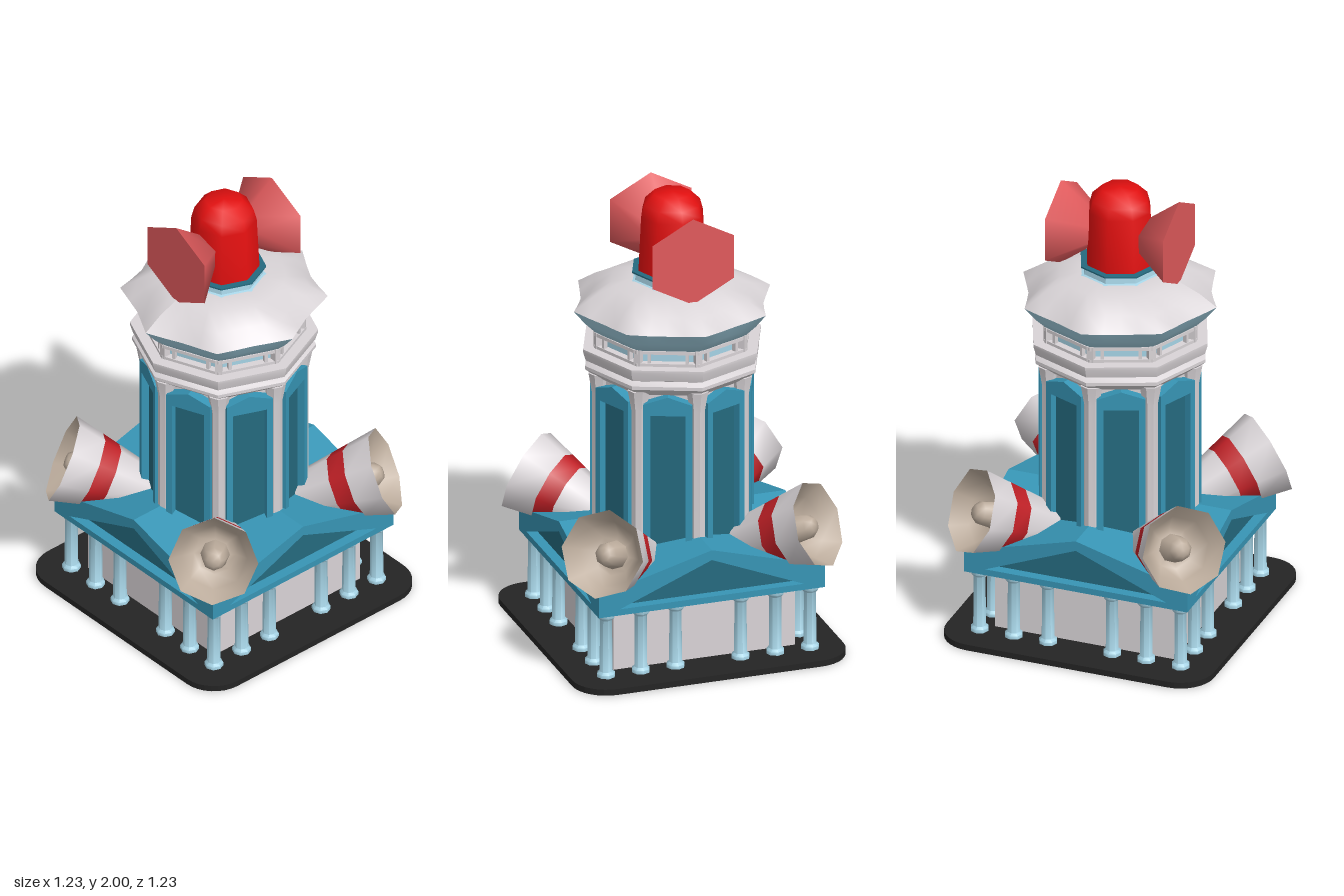
import * as THREE from 'three';
import { toCreasedNormals } from 'three/addons/utils/BufferGeometryUtils.js';

const mat = (name, color) => Object.assign(new THREE.MeshStandardMaterial({ color }), { name });

export function createModel() {
  const M = {
    stone: mat('pale stone', 0xd9d4d7),
    sky: mat('light blue', 0xa6d4e6),
    teal: mat('teal', 0x3795b5),
    deep: mat('dark teal', 0x256a7f),
    red: mat('lamp red', 0xe31010),
    band: mat('band red', 0xc02026),
    beam: mat('beam red', 0xe05a5c),
    beige: mat('horn beige', 0xbcac9c),
    black: mat('base black', 0x242424),
  };
  const model = new THREE.Group();
  model.name = 'sirenTower';

  const add = (parent, name, geo, material, x = 0, y = 0, z = 0) => {
    const mesh = new THREE.Mesh(geo, material);
    mesh.name = name;
    mesh.position.set(x, y, z);
    parent.add(mesh);
    return mesh;
  };
  const lathe = (pts, sides = 8, crease = 0.6) =>
    toCreasedNormals(new THREE.LatheGeometry(pts.map(p => new THREE.Vector2(...p)), sides), crease);
  const box = (w, h, d) => new THREE.BoxGeometry(w, h, d);
  const polygon = pts => new THREE.Shape(pts.map(p => new THREE.Vector2(...p)));
  const extrude = (shape, depth) =>
    new THREE.ExtrudeGeometry(shape, { depth, bevelEnabled: false, curveSegments: 4 });
  const turned = (name, angle) => {
    const g = new THREE.Group();
    g.name = name;
    g.rotation.y = angle;
    model.add(g);
    return g;
  };

  // Base plate with rounded corners
  const b = 0.605, r = 0.15, plate = new THREE.Shape();
  plate.absarc(b - r, b - r, r, 0, Math.PI / 2);
  plate.absarc(r - b, b - r, r, Math.PI / 2, Math.PI);
  plate.absarc(r - b, r - b, r, Math.PI, Math.PI * 1.5);
  plate.absarc(b - r, r - b, r, Math.PI * 1.5, Math.PI * 2);
  add(model, 'basePlate', extrude(plate, 0.027), M.black, 0, 0.03).rotation.x = Math.PI / 2;

  // Ground floor walls
  add(model, 'walls', box(0.81, 0.3, 0.81), M.stone, 0, 0.18);

  // Four sides: columns, pediment and the wall edge under the base
  const column = lathe([[0, 0.03], [0.04, 0.03], [0.04, 0.045], [0.029, 0.055], [0.027, 0.29],
    [0.038, 0.302], [0.038, 0.322], [0, 0.322]], 8, 0.9);
  const slope = x => 0.56 - 0.14 * x / 0.505;
  const gable = w => polygon([[-w, 0.32], [w, 0.32], [w, slope(w)], [0, 0.56], [-w, slope(w)]]);
  const pediment = gable(0.505);
  pediment.holes.push(polygon([[-0.41, 0.348], [0, 0.515], [0.41, 0.348]]));
  const pedimentGeo = extrude(pediment, 0.06);
  const roofGeo = extrude(gable(0.45), 0.92);
  for (let i = 0; i < 4; i++) {
    const side = turned('side', i * Math.PI / 2);
    for (const x of [-0.455, -0.3, -0.145, 0.145, 0.3]) add(side, 'column', column, M.sky, x, 0, 0.455);
    add(side, 'pediment', pedimentGeo, M.teal, 0, 0, 0.445);
    add(side, 'wallEdge', box(0.83, 0.004, 0.014), M.stone, 0, 0.002, 0.408);
    if (i < 2) add(side, 'crossRoof', roofGeo, [M.deep, M.teal], 0, 0, -0.46);
  }

  // Octagonal tower shaft with corner pillars and recessed arched windows
  add(model, 'towerShaft', lathe([[0, 0.33], [0.322, 0.33], [0.322, 1.24], [0, 1.24]]), M.stone);
  const arch = polygon([[-0.103, 0.36], [0.103, 0.36], [0.103, 1.165], [0, 1.2], [-0.103, 1.165]]);
  arch.holes.push(polygon([[-0.075, 0.4], [-0.075, 1.115], [0.075, 1.115], [0.075, 0.4]]));
  const archGeo = extrude(arch, 0.047);
  const pillar = lathe([[0, 0.36], [0.034, 0.36], [0.034, 1.13], [0.05, 1.22], [0, 1.22]]);
  for (let i = 0; i < 8; i++) {
    const corner = turned('towerCorner', i * Math.PI / 4);
    add(corner, 'pillar', pillar, M.stone, 0, 0, 0.323);
    add(corner, 'galleryPost', box(0.03, 0.08, 0.03), M.stone, 0, 1.365, 0.33);
    const face = turned('towerFace', (i + 0.5) * Math.PI / 4);
    add(face, 'windowFrame', archGeo, M.teal, 0, 0, 0.294);
    add(face, 'windowPanel', box(0.16, 0.74, 0.01), M.deep, 0, 0.76, 0.303);
    for (const x of [-0.08, 0.08]) add(face, 'galleryMullion', box(0.014, 0.07, 0.02), M.stone, x, 1.365, 0.308);
  }

  // Cornice mouldings and glazed gallery
  add(model, 'cornice', lathe([[0, 1.2], [0.34, 1.2], [0.388, 1.24], [0.388, 1.255], [0.362, 1.27],
    [0.385, 1.28], [0.397, 1.32], [0.397, 1.332], [0, 1.332]]), M.stone);
  add(model, 'galleryGlass', lathe([[0.315, 1.33], [0.315, 1.42]]), M.sky);
  add(model, 'gallerySill', lathe([[0, 1.33], [0.348, 1.33], [0.348, 1.345], [0, 1.345]]), M.stone);
  add(model, 'galleryLintel', lathe([[0, 1.387], [0.348, 1.387], [0.348, 1.402], [0, 1.402]]), M.stone);

  // Scalloped roof: the rim is pulled in between its eight points
  const scalloped = pts => {
    const g = new THREE.LatheGeometry(pts.map(p => new THREE.Vector2(...p)), 32);
    const p = g.attributes.position;
    for (let i = 0; i < p.count; i++) {
      const x = p.getX(i), z = p.getZ(i), rad = Math.hypot(x, z);
      const dip = Math.abs(Math.sin(4 * Math.atan2(x, z)));
      const k = 1 - 0.12 * dip * THREE.MathUtils.smoothstep(rad, 0.2, 0.44);
      p.setXYZ(i, x * k, p.getY(i) - 0.012 * dip * THREE.MathUtils.smoothstep(rad, 0.34, 0.44), z * k);
    }
    g.computeVertexNormals();
    return g;
  };
  add(model, 'roofUnderside', scalloped([[0, 1.4], [0.34, 1.4], [0.39, 1.45], [0.438, 1.51]]), M.sky);
  add(model, 'roofTop', scalloped([[0.438, 1.51], [0.36, 1.56], [0.26, 1.603], [0.17, 1.615], [0, 1.615]]), M.stone);

  // Lamp collar and red lamp
  add(model, 'lampCollar', lathe([[0.185, 1.6], [0.185, 1.612], [0.165, 1.618], [0.16, 1.65]]), M.sky);
  add(model, 'lampSeat', lathe([[0.178, 1.65], [0.178, 1.657], [0, 1.657]]), M.deep);
  add(model, 'lamp', lathe([[0.15, 1.655], [0.138, 1.9], [0.125, 1.95], [0.08, 1.995], [0, 2]], 8, 1.2), M.red);

  // Two hexagonal light beams, front and back
  const beamGeo = toCreasedNormals(new THREE.CylinderGeometry(0.195, 0.07, 0.165, 6), 1.1);
  for (const a of [0, Math.PI]) {
    const g = turned('beamMount', a);
    const beam = add(g, 'lightBeam', beamGeo, M.beam, 0, 1.783, 0.185);
    beam.rotation.x = Math.PI / 2;
    beam.scale.x = 1.08;
  }

  // Four loudspeaker horns on the roof corners, mouths tilted upward
  const R = d => 0.19 - 0.24 * d;
  const cone = (d0, d1) => lathe([[R(d1), -d1], [R(d0), -d0]], 8, 1);
  const hornBack = lathe([[0, -0.43], [R(0.43), -0.43], [R(0.21), -0.21]], 8, 1);
  const hornRim = cone(0, 0.13), hornBand = cone(0.13, 0.21);
  const hornMouth = lathe([[0.19, 0], [0.14, -0.07], [0.09, -0.13], [0.062, -0.13], [0.05, -0.04],
    [0.03, -0.015], [0, -0.01]], 8, 1.3);
  for (let i = 0; i < 4; i++) {
    const horn = new THREE.Group();
    horn.name = 'horn';
    horn.position.set(0, 0.6, 0.68);
    horn.rotation.x = THREE.MathUtils.degToRad(68);
    turned('hornMount', (i + 0.5) * Math.PI / 2).add(horn);
    add(horn, 'hornBack', hornBack, M.stone);
    add(horn, 'hornBand', hornBand, M.band);
    add(horn, 'hornRim', hornRim, M.stone);
    add(horn, 'hornMouth', hornMouth, M.beige);
  }
  return model;
}
